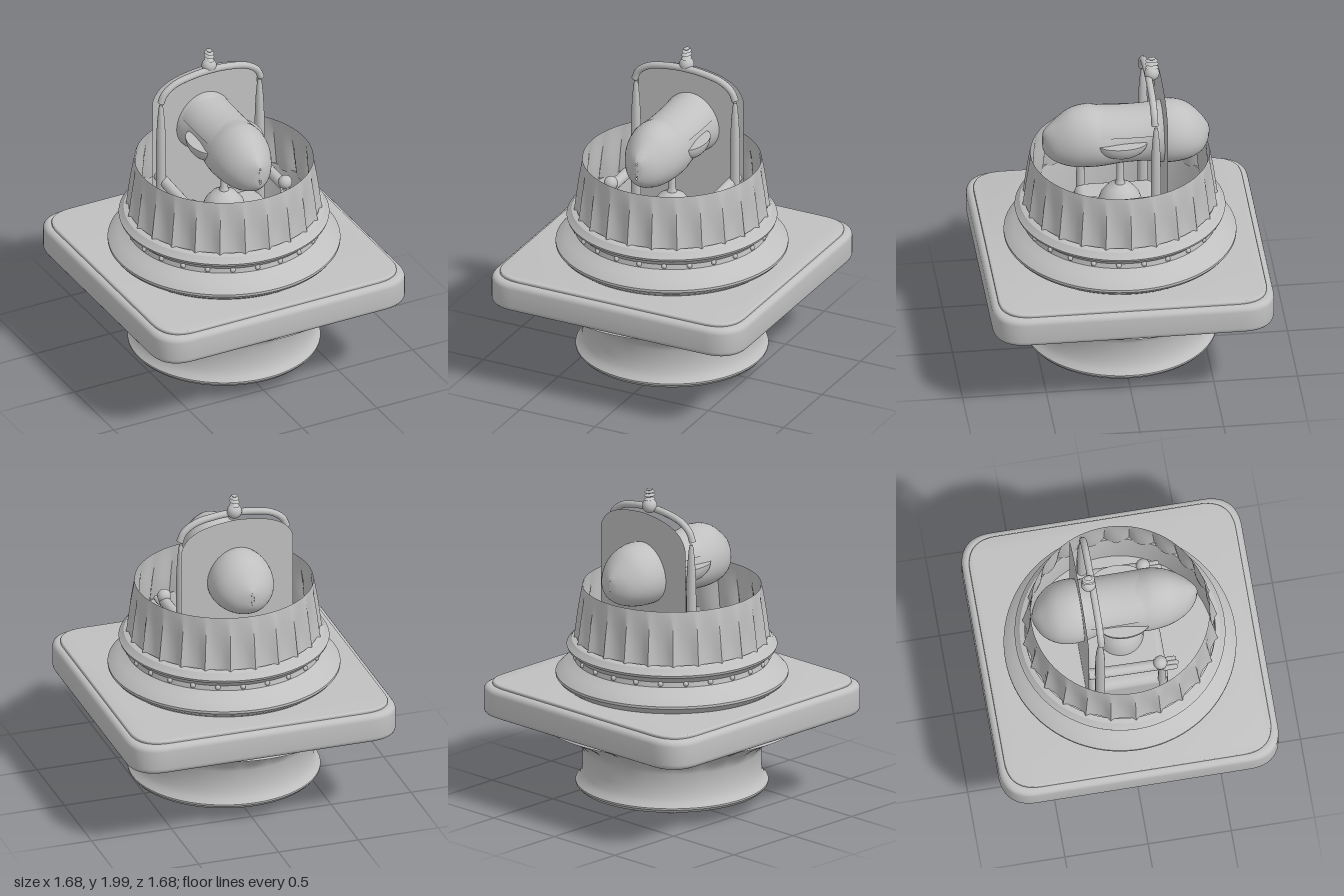
import * as THREE from 'three';
import { toCreasedNormals } from 'three/addons/utils/BufferGeometryUtils.js';
import { RoundedBoxGeometry } from 'three/addons/geometries/RoundedBoxGeometry.js';
import { ParametricGeometry } from 'three/addons/geometries/ParametricGeometry.js';

export function createModel() {
  const stone = new THREE.MeshStandardMaterial({ color: 0xc0c0c0, side: THREE.DoubleSide });
  stone.name = 'stone grey';
  const model = new THREE.Group();

  function add(name, geo, x = 0, y = 0, z = 0, parent = model) {
    const mesh = new THREE.Mesh(geo, stone);
    mesh.name = name;
    mesh.position.set(x, y, z);
    parent.add(mesh);
    return mesh;
  }

  // Turned profile given as [radius, height]; warp(angle, height) scales the radius
  function turned(profile, warp, segments = 96, crease = 0.55) {
    const geo = new THREE.LatheGeometry(profile.map(([r, y]) => new THREE.Vector2(r, y)), segments);
    if (warp) {
      const p = geo.attributes.position;
      for (let i = 0; i < p.count; i++) {
        const k = warp(Math.atan2(p.getX(i), p.getZ(i)), p.getY(i));
        p.setXYZ(i, p.getX(i) * k, p.getY(i), p.getZ(i) * k);
      }
    }
    return toCreasedNormals(geo, crease);
  }

  // Rounded square slab lying flat between two heights
  function slab(name, half, corner, y0, y1, bevel) {
    const h = half - bevel, r = corner, s = new THREE.Shape();
    s.moveTo(-h + r, -h);
    s.lineTo(h - r, -h); s.quadraticCurveTo(h, -h, h, -h + r);
    s.lineTo(h, h - r); s.quadraticCurveTo(h, h, h - r, h);
    s.lineTo(-h + r, h); s.quadraticCurveTo(-h, h, -h, h - r);
    s.lineTo(-h, -h + r); s.quadraticCurveTo(-h, -h, -h + r, -h);
    const geo = new THREE.ExtrudeGeometry(s, {
      depth: y1 - y0 - 2 * bevel, bevelSize: bevel, bevelThickness: bevel, bevelSegments: 5, curveSegments: 12,
    });
    geo.rotateX(-Math.PI / 2);
    add(name, toCreasedNormals(geo, 0.6), 0, y0 + bevel, 0);
  }

  // Hollow pedestal: inner wall, foot, neck and fluted flare, open up to the slab
  const flute = (a, y) => {
    const f = Math.max(0, Math.min(1, (y - 0.37) / 0.07)) * Math.max(0, Math.min(1, (0.53 - y) / 0.03));
    return 1 - 0.045 * f * (1 - Math.abs(Math.cos(a * 10)));
  };
  add('pedestal', turned([
    [0.73, 0.53], [0.67, 0.49], [0.6, 0.45], [0.55, 0.415], [0.515, 0.375], [0.505, 0.34], [0.505, 0.2],
    [0.53, 0.13], [0.54, 0.112], [0.555, 0.11], [0.572, 0.13], [0.572, 0.14], [0.55, 0.165],
    [0.535, 0.2], [0.53, 0.25], [0.53, 0.34], [0.545, 0.375], [0.58, 0.41], [0.63, 0.445], [0.69, 0.48],
    [0.75, 0.51], [0.775, 0.522], [0.79, 0.53], [0.78, 0.545], [0.76, 0.55],
  ], flute, 160));

  // Square slab with stepped top and bottom
  slab('slabUnderside', 0.78, 0.2, 0.54, 0.565, 0.008);
  slab('slab', 0.84, 0.165, 0.555, 0.738, 0.035);
  slab('slabTop', 0.8, 0.18, 0.728, 0.757, 0.01);

  // Hollow round moulding with a bead row
  add('moulding', turned([
    [0.64, 0.755], [0.675, 0.78], [0.69, 0.8], [0.69, 0.815], [0.665, 0.84], [0.63, 0.865], [0.6, 0.885],
    [0.58, 0.9], [0.575, 0.93], [0.59, 0.95], [0.62, 0.97], [0.625, 0.985], [0.61, 1.0], [0.595, 1.02],
    [0.565, 1.03], [0.56, 1.0], [0.56, 0.757],
  ]));
  const bead = new THREE.SphereGeometry(0.016, 10, 8);
  for (let i = 0; i < 24; i++) {
    const a = ((i + 0.5) / 24) * Math.PI * 2;
    add('bead', bead, Math.sin(a) * 0.577, 0.92, Math.cos(a) * 0.577);
  }

  // Crown wall: ridges at the foot fading into a plain round rim
  const pleat = (a, y) => {
    const ridge = Math.pow(1 - Math.abs(Math.sin(a * 12)), 1.3);
    const fade = Math.min(1, (1.355 - y) / 0.22);
    return 1 - 0.055 * fade * (1 - ridge);
  };
  add('crownWall', turned([
    [0.585, 1.01], [0.58, 1.04], [0.572, 1.1], [0.562, 1.18], [0.551, 1.25], [0.539, 1.32], [0.531, 1.355],
  ], pleat, 192, 0.6));

  // Pleated cloth hanging inside the pedestal, with a loose strip on each side
  add('hangingCloth', toCreasedNormals(new ParametricGeometry((u, v, out) => {
    const a = u * Math.PI * 2, w = 1 + 0.1 * v * Math.cos(a * 14);
    const spread = 0.84 + 0.16 * v;
    out.set(0.02 + 0.205 * spread * w * Math.cos(a), 0.55 - v * (0.52 + 0.015 * Math.sin(a * 5)),
      -0.165 + 0.09 * spread * w * Math.sin(a));
  }, 112, 8), 0.7));
  for (const s of [-1, 1]) {
    const strip = add('clothStrip', new THREE.BoxGeometry(0.04, 0.53, 0.03), 0.02 + s * 0.195, 0.28, -0.2);
    strip.rotation.z = s * 0.1;
  }

  // Seat on a block, with a small dome and rod carrying the body
  const chair = new THREE.Group();
  chair.name = 'chair';
  model.add(chair);
  add('seat', new RoundedBoxGeometry(0.66, 0.2, 0.48, 4, 0.05), 0, 0.85, 0, chair);
  add('seatDome', turned([
    [0.14, 0.94], [0.135, 1.0], [0.115, 1.06], [0.075, 1.11], [0.03, 1.135], [0.02, 1.16], [0.02, 1.34],
  ], null, 40), 0, 0, 0, chair);

  // Thin arched back panel standing behind the rail
  const back = new THREE.Shape();
  back.moveTo(-0.35, 0.757);
  back.lineTo(0.35, 0.757);
  back.lineTo(0.35, 1.7);
  back.bezierCurveTo(0.32, 1.81, 0.2, 1.85, 0, 1.86);
  back.bezierCurveTo(-0.2, 1.85, -0.32, 1.81, -0.35, 1.7);
  add('backPanel', new THREE.ShapeGeometry(back, 16), 0, 0, -0.245, chair);

  // Arched top rail
  const rail = new THREE.CatmullRomCurve3([
    [-0.335, 1.73], [-0.31, 1.785], [-0.24, 1.835], [-0.12, 1.862], [0, 1.87],
    [0.12, 1.862], [0.24, 1.835], [0.31, 1.785], [0.335, 1.73],
  ].map(([x, y]) => new THREE.Vector3(x, y, -0.168)));
  add('topRail', new THREE.TubeGeometry(rail, 48, 0.021, 12), 0, 0, 0, chair);

  // Finial: ball with stacked discs, flattened sideways
  add('finialBall', new THREE.SphereGeometry(0.045, 20, 14), 0, 1.89, -0.19, chair);
  add('finialTip', turned([
    [0.015, 1.92], [0.04, 1.93], [0.016, 1.944], [0.04, 1.955], [0.016, 1.967], [0.038, 1.977],
    [0.016, 1.986], [0.024, 1.993], [0, 2.0],
  ], null, 20, 0.4), 0, 0, -0.19, chair).scale.x = 0.7;

  // Posts, arms and arm balls on both sides
  for (const s of [-1, 1]) {
    add('backPost', turned([
      [0.03, 0.757], [0.03, 1.4], [0.028, 1.5], [0.023, 1.6], [0.016, 1.68], [0.01, 1.715], [0, 1.725],
    ], null, 20), s * 0.33, 0, -0.175, chair);
    const arm = new THREE.CatmullRomCurve3([
      new THREE.Vector3(s * 0.31, 1.19, -0.24), new THREE.Vector3(s * 0.31, 1.175, 0),
      new THREE.Vector3(s * 0.31, 1.17, 0.19),
    ]);
    add('armRest', new THREE.TubeGeometry(arm, 12, 0.033, 14), 0, 0, 0, chair);
    add('armBall', new THREE.SphereGeometry(0.042, 18, 12), s * 0.31, 1.2, 0.19, chair);
    add('armSupport', new THREE.CylinderGeometry(0.022, 0.028, 0.4, 14), s * 0.31, 0.98, 0.2, chair);
    for (const k of [-1, 0, 1]) {
      add('armClaw', new THREE.CapsuleGeometry(0.016, 0.06, 4, 10), s * 0.305 + k * 0.026, 1.15, 0.245 + (k ? 0 : 0.01), chair)
        .rotation.x = Math.PI / 2;
    }
  }

  // Long rounded body: [z, half width, bottom, top]
  const sections = [
    [0.462, 0.008, 1.41, 1.52], [0.45, 0.04, 1.38, 1.54], [0.4, 0.1, 1.335, 1.585], [0.3, 0.158, 1.3, 1.66],
    [0.2, 0.182, 1.295, 1.68], [0.12, 0.184, 1.3, 1.665], [0, 0.165, 1.31, 1.645], [-0.15, 0.163, 1.31, 1.65],
    [-0.22, 0.182, 1.3, 1.67], [-0.3, 0.194, 1.3, 1.68], [-0.4, 0.175, 1.315, 1.65], [-0.48, 0.115, 1.35, 1.575],
    [-0.52, 0.045, 1.4, 1.52], [-0.53, 0.008, 1.43, 1.5],
  ];
  const span = new THREE.CatmullRomCurve3(sections.map(([z, , b, t]) => new THREE.Vector3(z, b, t)));
  const width = new THREE.CatmullRomCurve3(sections.map(([z, w]) => new THREE.Vector3(z, w, 0)));
  const body = new THREE.Group();
  body.name = 'body';
  model.add(body);
  add('bodyShell', toCreasedNormals(new ParametricGeometry((u, v, out) => {
    const p = span.getPoint(v), w = width.getPoint(v).y, a = u * Math.PI * 2;
    // egg-shaped cross-section, narrower towards the top
    out.set(w * Math.cos(a) * (1 - 0.1 * Math.sin(a)), (p.y + p.z) / 2 + ((p.z - p.y) / 2) * Math.sin(a), p.x);
  }, 40, 52), 1), 0, 0, 0, body);
  for (const [z, name] of [[0.462, 'frontTip'], [-0.53, 'rearTip']]) {
    add(name, new THREE.SphereGeometry(1, 12, 8), 0, 1.466, z, body).scale.set(0.009, 0.045, 0.003);
  }

  // Curved saddle plate over the middle, dipping slightly along its length
  add('saddle', new ParametricGeometry((u, v, out) => {
    const a = Math.PI * (0.12 + 0.76 * u), dip = 0.01 * Math.sin(Math.PI * v);
    out.set(0.178 * Math.cos(a), 1.485 + (0.178 - dip) * Math.sin(a), 0.13 - 0.35 * v);
  }, 28, 10), 0, 0, 0, body);

  // Half-bowl pockets on both flanks
  for (const s of [-1, 1]) {
    const bowl = new THREE.SphereGeometry(1, 28, 10, 0, Math.PI * 2, Math.PI / 2, Math.PI / 2);
    add('sidePocket', bowl, s * 0.15, 1.505, 0.005, body).scale.set(0.08, 0.1, 0.15);
    const lid = new THREE.CircleGeometry(1, 28);
    lid.rotateX(-Math.PI / 2);
    add('pocketTop', lid, s * 0.15, 1.505, 0.005, body).scale.set(0.08, 1, 0.15);
  }

  return model;
}
